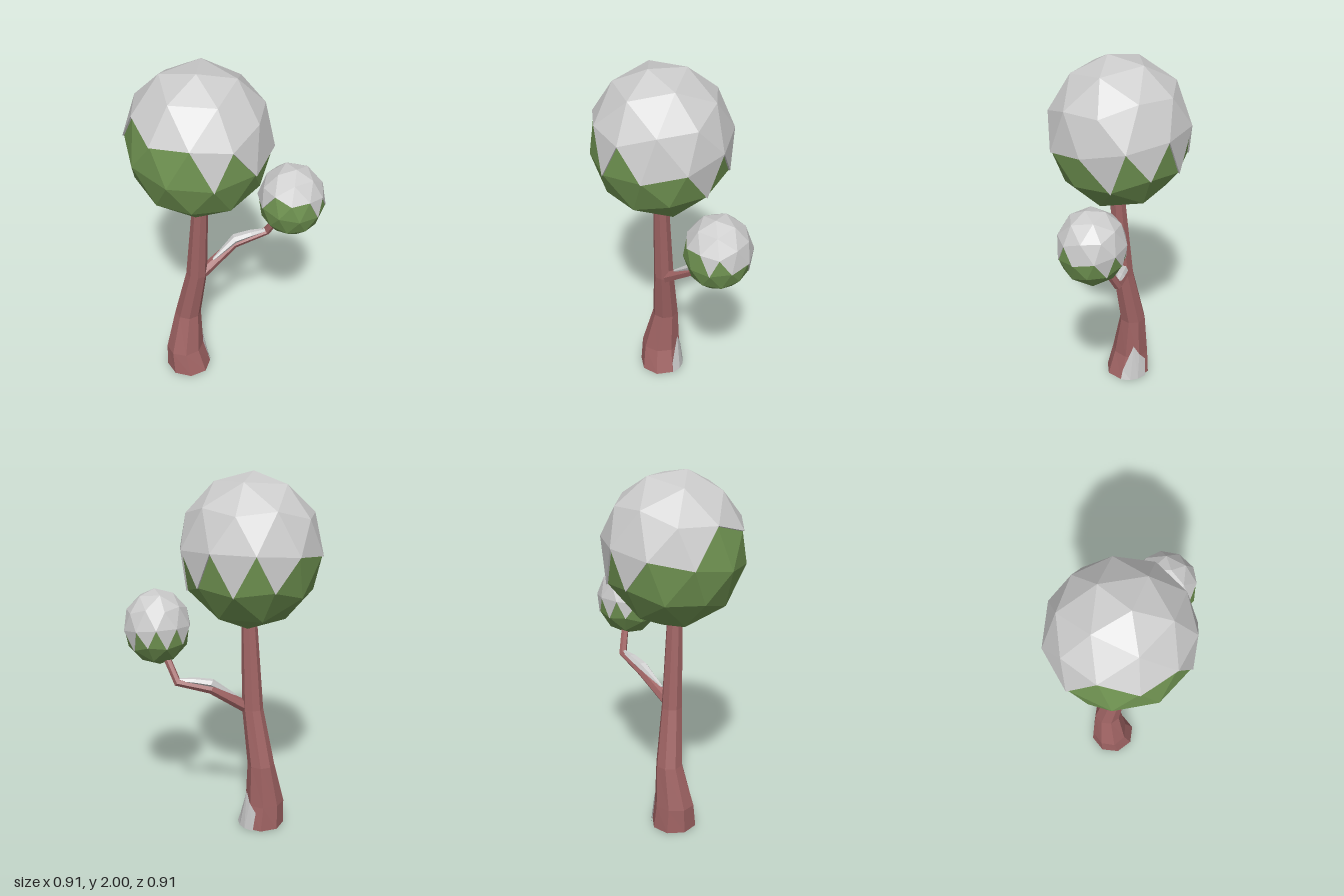
import * as THREE from 'three';

const mat = (color) => new THREE.MeshStandardMaterial({ color, flatShading: true });
const V = (x, y, z) => new THREE.Vector3(x, y, z);
const rad = THREE.MathUtils.degToRad;

function meshFrom(points, material, name) {
  const geo = new THREE.BufferGeometry().setFromPoints(points);
  geo.computeVertexNormals();
  const mesh = new THREE.Mesh(geo, material);
  mesh.name = name;
  return mesh;
}

// Faceted closed tube through sections [x, y, z, radiusA, radiusB]
function tube(sections, sides, side, material, name, level = false) {
  const c = sections.map((s) => V(s[0], s[1], s[2]));
  const rings = sections.map((s, i) => {
    const t = level ? V(0, 1, 0)
      : c[Math.min(i + 1, c.length - 1)].clone().sub(c[Math.max(i - 1, 0)]).normalize();
    const b = side.clone().cross(t).normalize();
    return Array.from({ length: sides }, (_, k) => {
      const a = (k / sides) * Math.PI * 2;
      return c[i].clone().addScaledVector(side, Math.cos(a) * s[3])
        .addScaledVector(b, Math.sin(a) * (s[4] ?? s[3]));
    });
  });
  const pts = [];
  const last = rings.length - 1;
  for (let k = 0; k < sides; k++) {
    const n = (k + 1) % sides;
    for (let i = 0; i < last; i++) {
      const [p, q] = [rings[i], rings[i + 1]];
      pts.push(p[k], q[k], q[n], p[k], q[n], p[n]);
    }
    pts.push(c[0], rings[0][k], rings[0][n], c[last], rings[last][n], rings[last][k]);
  }
  return meshFrom(pts, material, name);
}

// Faceted leaf ball with a toothed snow cap lying on it
function crown(name, center, size, turn, leaf, snow) {
  const geo = new THREE.IcosahedronGeometry(1, 1);
  geo.rotateZ(-Math.atan(2 / (1 + Math.sqrt(5)))); // one corner up
  geo.rotateY(rad(-22));
  const pos = geo.attributes.position;
  const place = (p, s) => p.clone()
    .applyAxisAngle(V(0, 0, 1), -0.1).applyAxisAngle(V(1, 0, 0), 0.145)
    .applyAxisAngle(V(0, 1, 0), turn).multiply(size).multiplyScalar(s).add(center);
  const key = (p) => `${Math.round(p.x * 100)},${Math.round(p.y * 100)},${Math.round(p.z * 100)}`;
  const snowDir = V(-0.069, 1, -0.394);
  const leafPts = [], snowPts = [], edges = new Map();

  for (let i = 0; i < pos.count; i += 3) {
    const f = [0, 1, 2].map((j) => V().fromBufferAttribute(pos, i + j));
    f.forEach((p) => leafPts.push(place(p, 1)));
    const mid = f[0].clone().add(f[1]).add(f[2]).divideScalar(3);
    if (mid.dot(snowDir) < 0.04) continue;
    f.forEach((p, j) => {
      snowPts.push(place(p, 1.025));
      const q = f[(j + 1) % 3];
      edges.set(`${key(p)}|${key(q)}`, [p, q]);
    });
  }
  // Rim of the snow along its open edges
  for (const [p, q] of edges.values()) {
    if (edges.has(`${key(q)}|${key(p)}`)) continue;
    const [po, pi, qi, qo] = [place(p, 1.025), place(p, 0.99), place(q, 0.99), place(q, 1.025)];
    snowPts.push(po, pi, qi, po, qi, qo);
  }
  const group = new THREE.Group();
  group.name = name;
  group.add(meshFrom(leafPts, leaf, 'leaves'), meshFrom(snowPts, snow, 'snowCap'));
  return group;
}

export function createModel() {
  const bark = mat(0xa06464), leaf = mat(0x729653), snow = mat(0xcccccc);
  const model = new THREE.Group();
  model.name = 'snowyTree';

  // Trunk, flared at the foot and leaning
  const trunk = [
    [-0.142, 0, 0.115, 0.128, 0.126],
    [-0.162, 0.14, 0.122, 0.102, 0.112],
    [-0.16, 0.38, 0.092, 0.075, 0.074],
    [-0.095, 0.7, 0.086, 0.06, 0.057],
    [-0.06, 1.18, 0.09, 0.043, 0.044],
    [-0.055, 1.35, 0.09, 0.04, 0.04],
  ];
  model.add(tube(trunk, 8, V(1, 0, 0), bark, 'trunk', true));

  // Snow patch on the back of the foot
  const onTrunk = (y, deg) => {
    const i = trunk.findIndex((s) => s[1] > y) - 1;
    const t = (y - trunk[i][1]) / (trunk[i + 1][1] - trunk[i][1]);
    const s = trunk[i].map((v, k) => THREE.MathUtils.lerp(v, trunk[i + 1][k], t));
    return V(s[0] + Math.cos(rad(deg)) * s[3] * 1.04, y, s[2] + Math.sin(rad(deg)) * s[4] * 1.04);
  };
  const columns = [[-115, 0.11], [-90, 0.16], [-70, 0.22], [-45, 0.06]];
  const patch = [];
  for (let i = 0; i < 3; i++) {
    const [[a, ya], [b, yb]] = [columns[i], columns[i + 1]];
    const [p, q, r, s] = [onTrunk(0, a), onTrunk(ya, a), onTrunk(yb, b), onTrunk(0, b)];
    patch.push(p, q, r, p, r, s);
  }
  const footSnow = meshFrom(patch, mat(0xcccccc), 'footSnow');
  footSnow.material.side = THREE.DoubleSide;
  model.add(footSnow);

  // Side branch and the snow lying on it
  const across = V(0.707, 0, 0.707);
  model.add(tube([
    [-0.075, 0.69, 0.08, 0.034],
    [0.012, 0.835, -0.12, 0.028],
    [0.122, 0.882, -0.27, 0.023],
    [0.22, 1.05, -0.285, 0.021],
  ], 6, across, bark, 'branch'));
  model.add(tube([
    [-0.035, 0.775, 0.01, 0.008],
    [0.015, 0.868, -0.12, 0.031, 0.024],
    [0.07, 0.885, -0.195, 0.026, 0.018],
    [0.122, 0.892, -0.265, 0.012, 0.01],
  ], 6, across, snow, 'branchSnow'));

  // Crowns
  model.add(crown('mainCrown', V(-0.068, 1.58, 0.088), V(0.383, 0.412, 0.378), 0, leaf, snow));
  model.add(crown('smallCrown', V(0.273, 1.162, -0.28), V(0.182, 0.206, 0.18), 0.62, leaf, snow));
  return model;
}
